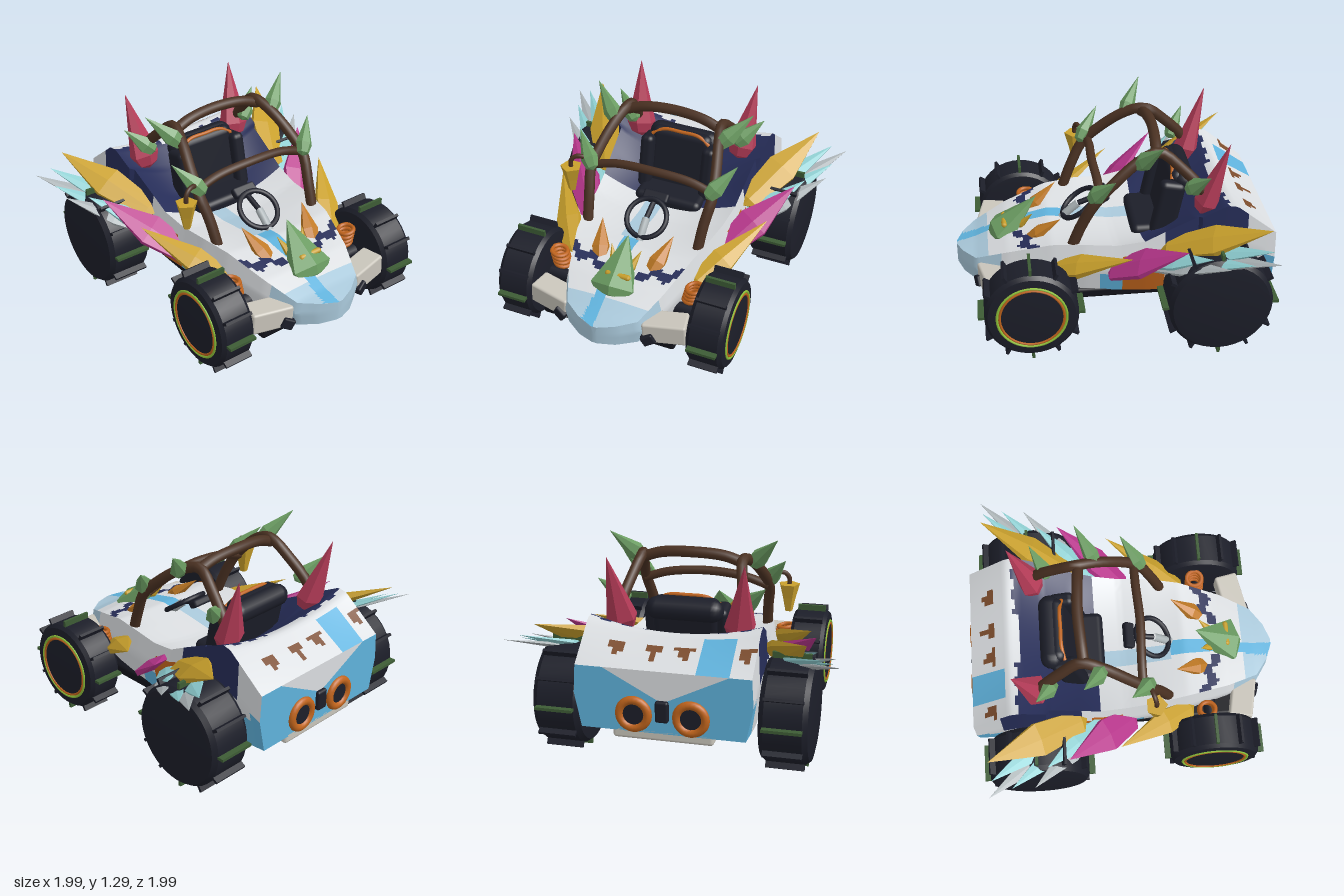
import * as THREE from 'three';
import { toCreasedNormals } from 'three/addons/utils/BufferGeometryUtils.js';
import { RoundedBoxGeometry } from 'three/addons/geometries/RoundedBoxGeometry.js';

const C = {
  white: 0xdadde0, pale: 0xa9c8da, blue: 0x5fb2dc, navy: 0x262d58, orange: 0xc0641c, rust: 0x7c4c2c,
  dark: 0x1c1e29, black: 0x12131a, brown: 0x4a3122, gold: 0xc9a02c, magenta: 0xb8368c, cyan: 0x8fcfd2,
  grey: 0xaab2b5, green: 0x6b9c62, moss: 0x3d5c35, pink: 0xb53c58, amber: 0xc07a25, lime: 0x8fc23a, cream: 0xc9c5bb,
};
const V = (x, y, z) => new THREE.Vector3(x, y, z);
const mat = (color, flat = false) => new THREE.MeshStandardMaterial({ color, flatShading: flat });
const SIDES = [1, -1];

function add(parent, name, geo, color, pos = [0, 0, 0], rot = [0, 0, 0], flat = false) {
  const m = new THREE.Mesh(geo, mat(color, flat));
  m.name = name;
  m.position.set(...pos);
  m.rotation.set(...rot);
  parent.add(m);
  return m;
}

function tube(parent, name, pts, r, color, segs = 28) {
  const curve = new THREE.CatmullRomCurve3(pts.map((p) => V(...p)));
  return add(parent, name, new THREE.TubeGeometry(curve, segs, r, 10), color);
}

// Faceted crystal or feather blade from base to tip; "up" is the direction its flat side faces
function spike(parent, name, base, tip, width, thick, color, up, belly = 0.3, sides = 6) {
  const geo = new THREE.LatheGeometry([[0, 0], [0.35, 0.07], [0.5, belly], [0, 1]].map((p) => new THREE.Vector2(...p)), sides);
  const a = V(...base), dir = V(...tip).sub(a), len = dir.length();
  dir.normalize();
  const x = dir.clone().cross(V(...up)).normalize(), z = x.clone().cross(dir);
  geo.applyMatrix4(new THREE.Matrix4().makeBasis(x, dir, z).scale(V(width, len, thick)).setPosition(a));
  add(parent, name, geo, color, [0, 0, 0], [0, 0, 0], true);
}

// Body stations: z, half width, bottom, top edge height, top centre height
const STATIONS = [
  [0.99, 0.02, 0.29, 0.42, 0.42], [0.95, 0.13, 0.28, 0.43, 0.43], [0.87, 0.25, 0.275, 0.44, 0.45],
  [0.67, 0.34, 0.27, 0.52, 0.53], [0.4, 0.42, 0.27, 0.6, 0.58], [0.2, 0.46, 0.27, 0.61, 0.55],
  [0, 0.48, 0.27, 0.6, 0.52], [-0.17, 0.5, 0.27, 0.63, 0.52], [-0.32, 0.51, 0.27, 0.71, 0.55],
  [-0.5, 0.52, 0.27, 0.8, 0.68], [-0.66, 0.53, 0.27, 0.88, 0.8], [-0.72, 0.53, 0.27, 0.87, 0.82],
  [-0.97, 0.53, 0.29, 0.67, 0.67],
];

function ringAt(z) {
  let i = 0;
  while (i < STATIONS.length - 2 && z < STATIONS[i + 1][0]) i++;
  const a = STATIONS[i], b = STATIONS[i + 1], t = (z - a[0]) / (b[0] - a[0]);
  const [, w, yb, yt, yc] = a.map((v, k) => v + (b[k] - v) * t);
  const wt = w * (z < -0.5 ? 0.98 : 0.93), ym = yb + (yt - yb) * 0.55;
  const half = [];
  for (let k = 0; k < 4; k++) half.push([w * (0.92 + 0.02 * k), yb + (ym - yb) * k / 4]);
  for (let k = 0; k < 4; k++) half.push([w + (wt - w) * k / 4, ym + (yt - ym) * k / 4]);
  const ring = half.map(([x, y]) => V(x, y, z));
  for (let k = 0; k <= 32; k++) {
    const u = 1 - k / 16;
    ring.push(V(wt * u, yc + (yt - yc) * u * u, z));
  }
  return ring.concat(half.reverse().map(([x, y]) => V(-x, y, z)));
}

// Painted livery, chosen from position on the body
function paint(p, top) {
  const { x, y, z } = p, ax = Math.abs(x);
  const zig = Math.abs(((ax * 7) % 1) - 0.5);
  if (z < -0.965) return ax > 0.36 || y < 0.36 ? 'blue' : 'white';
  if (top) {
    if (z < -0.17 && z > -0.66 - 0.09 * zig * (ax > 0.15 ? 1 : 0)) return 'navy';
    for (const c of [-0.46, -0.1, 0.08, 0.3]) {
      if (z < -0.8 && Math.abs(x - c) < (z + 0.91) * 0.6) return 'rust';
    }
    if (ax > 0.1 && Math.abs(z - 0.5 - 0.12 * zig - 0.25 * (0.35 - ax)) < 0.03) return 'navy';
    if (z > 0.3 && Math.abs(x + 0.05) < 0.04) return 'blue';
    if (z > 0.78 || (z > -0.17 && z < 0.3 && Math.abs(x + 0.08) < 0.05)) return 'pale';
    if (z < -0.75 && x < -0.2 && x > -0.4) return 'blue';
    return 'white';
  }
  if (z < -0.03 && z > -0.3 && y < 0.55) return 'orange';
  if (z < -0.3 && z > -0.8 && y > 0.6) return 'navy';
  if (z < 0.12 && z > -0.03 && y < 0.42) return 'blue';
  if (z < -0.8) return y < 0.5 ? 'blue' : 'white';
  return z > 0.7 ? 'pale' : 'white';
}

function buildBody(root) {
  const zs = Array.from({ length: 99 }, (_, i) => 0.99 - i * 0.02);
  const rings = zs.map(ringAt), n = rings[0].length, faces = {};
  const tri = (a, b, c, key) => (faces[key] ??= []).push(...[a, b, c].flatMap((p) => p.toArray()));
  for (let i = 0; i < rings.length - 1; i++) {
    for (let j = 0; j < n; j++) {
      const k = (j + 1) % n, a = rings[i][j], b = rings[i][k], c = rings[i + 1][k], d = rings[i + 1][j];
      const key = j === n - 1 ? 'black' : paint(a.clone().add(c).multiplyScalar(0.5), j >= 8 && j < 40);
      tri(a, d, c, key);
      tri(a, c, b, key);
    }
  }
  // Nose and tail caps
  for (let j = 0; j < n; j++) {
    const k = (j + 1) % n, first = rings[0], last = rings[rings.length - 1];
    tri(V(0, 0.35, 0.99), first[j], first[k], 'pale');
    tri(V(0, 0.48, -0.97), last[k], last[j], paint(last[j], false));
  }
  const body = new THREE.Group();
  body.name = 'body';
  root.add(body);
  for (const key in faces) {
    const g = new THREE.BufferGeometry();
    g.setAttribute('position', new THREE.Float32BufferAttribute(faces[key], 3));
    add(body, key + 'BodyPanels', toCreasedNormals(g, 0.6), C[key]);
  }
}

function buildWheel(root, name, s, x, y, z, r, hw, front) {
  const wheel = new THREE.Group();
  wheel.name = name;
  wheel.position.set(s * x, y, z);
  root.add(wheel);
  const prof = [[0, -hw], [r * 0.8, -hw], [r * 0.93, -hw * 0.95], [r, -hw * 0.75], [r, hw * 0.75], [r * 0.93, hw * 0.95], [r * 0.8, hw], [0, hw]];
  const tyre = toCreasedNormals(new THREE.LatheGeometry(prof.map((p) => new THREE.Vector2(...p)), 40), 0.5);
  add(wheel, 'tyre', tyre, C.dark, [0, 0, 0], [0, 0, Math.PI / 2]);
  // Tread bars, every third one green
  for (let i = 0; i < 12; i++) {
    const a = i * Math.PI / 6;
    add(wheel, 'treadBar', new THREE.BoxGeometry(hw * 1.55, 0.05, 0.018), i % 3 ? C.dark : C.moss,
      [0, Math.cos(a) * (r + 0.012), Math.sin(a) * (r + 0.012)], [a, 0, 0]);
  }
  if (front) {
    for (const [rad, col] of [[0.21, C.lime], [0.194, C.orange]]) {
      add(wheel, 'rimRing', new THREE.TorusGeometry(rad, 0.008, 6, 40), col, [s * hw, 0, 0], [0, Math.PI / 2, 0]);
    }
  }
}

export function createModel() {
  const root = new THREE.Group();
  buildBody(root);

  // Chassis, axles and rear valance
  add(root, 'chassis', new RoundedBoxGeometry(0.88, 0.07, 1.62, 2, 0.02), C.black, [0, 0.255, 0]);
  add(root, 'frontAxle', new THREE.CylinderGeometry(0.04, 0.04, 1.1, 10), C.dark, [0, 0.33, 0.55], [0, 0, Math.PI / 2]);
  add(root, 'rearAxle', new THREE.CylinderGeometry(0.05, 0.05, 1.2, 10), C.dark, [0, 0.36, -0.6], [0, 0, Math.PI / 2]);
  add(root, 'rearValance', new RoundedBoxGeometry(0.6, 0.08, 0.2, 2, 0.02), C.cream, [0, 0.28, -0.87]);
  add(root, 'rearLatch', new RoundedBoxGeometry(0.08, 0.13, 0.04, 2, 0.015), C.dark, [0, 0.43, -0.975]);

  for (const s of SIDES) {
    const at = (p) => [p[0] * s, p[1], p[2]];
    buildWheel(root, 'frontWheel', s, 0.63, 0.325, 0.55, 0.285, 0.12, true);
    buildWheel(root, 'rearWheel', s, 0.68, 0.355, -0.585, 0.318, 0.15, false);

    // Bumper wing, its dark clip and the suspension coil
    add(root, 'bumperWing', new RoundedBoxGeometry(0.27, 0.14, 0.15, 2, 0.015), C.cream, at([0.37, 0.355, 0.765]), [0, s * 0.2, s * 0.06]);
    add(root, 'bumperClip', new RoundedBoxGeometry(0.08, 0.07, 0.06, 1, 0.01), C.dark, at([0.29, 0.31, 0.85]), [0, s * 0.3, s * 0.5]);
    for (let i = 0; i < 4; i++) {
      add(root, 'suspensionCoil', new THREE.TorusGeometry(0.05, 0.014, 8, 20), C.orange, at([0.44 + i * 0.006, 0.41 + i * 0.028, 0.52]), [Math.PI / 2, s * 0.15, 0]);
    }
    // Exhaust
    add(root, 'exhaustRing', new THREE.TorusGeometry(0.085, 0.026, 10, 24), C.orange, at([0.17, 0.4, -0.973]));
    add(root, 'exhaustCore', new THREE.CylinderGeometry(0.07, 0.07, 0.02, 24), C.dark, at([0.17, 0.4, -0.972]), [Math.PI / 2, 0, 0]);

    // Cage rail from the cowl over to the rear deck
    tube(root, 'cageRail', [[0.375, 0.56, 0.28], [0.39, 0.74, 0.21], [0.41, 0.89, 0.13], [0.39, 1.0, 0.02],
      [0.345, 1.12, -0.14], [0.315, 1.16, -0.27], [0.34, 1.06, -0.4], [0.37, 0.93, -0.52], [0.38, 0.78, -0.6]].map(at), 0.034, C.brown);

    // Thorns on the cage
    for (const [b, t] of [[[0.38, 0.9, 0.16], [0.53, 1.09, 0.02]], [[0.34, 1.09, -0.13], [0.525, 1.29, -0.26]], [[0.35, 0.91, -0.44], [0.51, 1.07, -0.55]]]) {
      spike(root, 'cageThorn', at(b), at(t), 0.12, 0.1, C.green, [s * 0.3, 0.4, 1]);
    }
    // Tall rear spikes and hood crystals
    spike(root, 'rearSpike', at([0.35, 0.74, -0.53]), at([0.41, 1.24, -0.68]), 0.2, 0.16, C.pink, [0, 0.2, 1], 0.2);
    spike(root, 'hoodCrystal', at([0.16, 0.5, 0.56]), at([0.24, 0.69, 0.33]), 0.12, 0.08, C.amber, [0, 1, 0.7], 0.4);
    // Side feathers
    const out = [s * 0.45, 1, 0];
    spike(root, 'frontFeather', at([0.41, 0.43, 0.44]), at([0.715, 0.67, -0.06]), 0.18, 0.08, C.gold, out, 0.4);
    spike(root, 'magentaFeather', at([0.45, 0.42, 0.06]), at([0.79, 0.74, -0.38]), 0.24, 0.07, C.magenta, out, 0.45);
    spike(root, 'goldFeather', at([0.49, 0.58, -0.26]), at([0.8, 0.86, -0.87]), 0.24, 0.08, C.gold, out, 0.5);
    for (const [b, t, col] of [
      [[0.5, 0.52, -0.3], [0.995, 0.75, -0.88], C.grey], [[0.5, 0.54, -0.34], [0.9, 0.78, -0.86], C.cyan],
      [[0.5, 0.5, -0.24], [0.94, 0.72, -0.74], C.cyan], [[0.48, 0.47, -0.16], [0.94, 0.7, -0.6], C.grey],
      [[0.48, 0.49, -0.14], [0.82, 0.7, -0.52], C.cyan],
    ]) spike(root, 'fanFeather', at(b), at(t), 0.15, 0.04, col, out, 0.5);

    add(root, 'seatBolster', new RoundedBoxGeometry(0.09, 0.4, 0.16, 3, 0.035), C.dark, at([0.215, 0.7, -0.34]), [-0.2, 0, 0]);
  }

  // Cage crossbars
  tube(root, 'frontCrossbar', [[-0.41, 0.9, 0.1], [-0.25, 0.95, 0.1], [0, 0.97, 0.11], [0.25, 0.95, 0.1], [0.41, 0.9, 0.1]], 0.028, C.brown);
  tube(root, 'topCrossbar', [[-0.33, 1.13, -0.25], [-0.2, 1.175, -0.26], [0, 1.19, -0.27], [0.2, 1.175, -0.26], [0.33, 1.13, -0.25]], 0.034, C.brown);

  // Seat
  add(root, 'seatBack', new RoundedBoxGeometry(0.42, 0.48, 0.12, 3, 0.05), C.dark, [0, 0.71, -0.38], [-0.2, 0, 0]);
  add(root, 'seatCushion', new RoundedBoxGeometry(0.46, 0.1, 0.24, 3, 0.04), C.dark, [0, 0.54, -0.24]);
  add(root, 'headrest', new THREE.CapsuleGeometry(0.07, 0.34, 6, 14), C.dark, [0, 0.88, -0.45], [0, 0, Math.PI / 2]);
  tube(root, 'seatPiping', [[-0.2, 0.9, -0.37], [-0.12, 0.945, -0.385], [0, 0.95, -0.385], [0.12, 0.945, -0.385], [0.2, 0.9, -0.37]], 0.012, C.orange);

  // Steering
  add(root, 'steeringWheel', new THREE.TorusGeometry(0.13, 0.017, 10, 32), C.dark, [0, 0.66, 0.195], [Math.PI / 2 - 2.5, 0, 0]).rotation.x = -0.95;
  tube(root, 'steeringColumn', [[0, 0.56, 0.31], [0, 0.61, 0.26], [0, 0.66, 0.2]], 0.026, C.grey, 8);
  add(root, 'dashPod', new RoundedBoxGeometry(0.17, 0.05, 0.07, 1, 0.015), C.dark, [0, 0.72, 0.04], [0.6, 0, 0]);
  tube(root, 'dashStalk', [[0, 0.66, 0.2], [0, 0.69, 0.12], [0, 0.72, 0.04]], 0.018, C.dark, 6);

  // Nose crest with gold bar
  spike(root, 'noseCrest', [0, 0.43, 0.75], [0, 0.73, 0.47], 0.32, 0.2, C.green, [0, 0.7, 0.75], 0.2, 6);
  add(root, 'crestBar', new THREE.CapsuleGeometry(0.018, 0.13, 4, 8), C.gold, [0.02, 0.58, 0.68], [0, 0, Math.PI / 2]);
  add(root, 'crestSlit', new THREE.ConeGeometry(0.016, 0.08, 4), C.rust, [0, 0.65, 0.585], [-0.75, 0, 0]);
  for (const s of SIDES) spike(root, 'crestTuft', [s * 0.04, 0.53, 0.6], [s * 0.1, 0.66, 0.5], 0.06, 0.05, C.gold, [0, 1, 1]);

  // Lantern hanging from the right rail
  tube(root, 'lanternHook', [[-0.4, 0.93, 0.12], [-0.44, 0.97, 0.14], [-0.5, 0.975, 0.16], [-0.53, 0.94, 0.17], [-0.53, 0.88, 0.17]], 0.015, C.brown);
  add(root, 'lanternTop', new THREE.CylinderGeometry(0.07, 0.045, 0.09, 5), C.gold, [-0.53, 0.855, 0.17], [0, 0, 0], true);
  add(root, 'lanternBottom', new THREE.CylinderGeometry(0.045, 0.025, 0.09, 5), C.gold, [-0.53, 0.765, 0.17], [0, 0, 0], true);
  return root;
}
